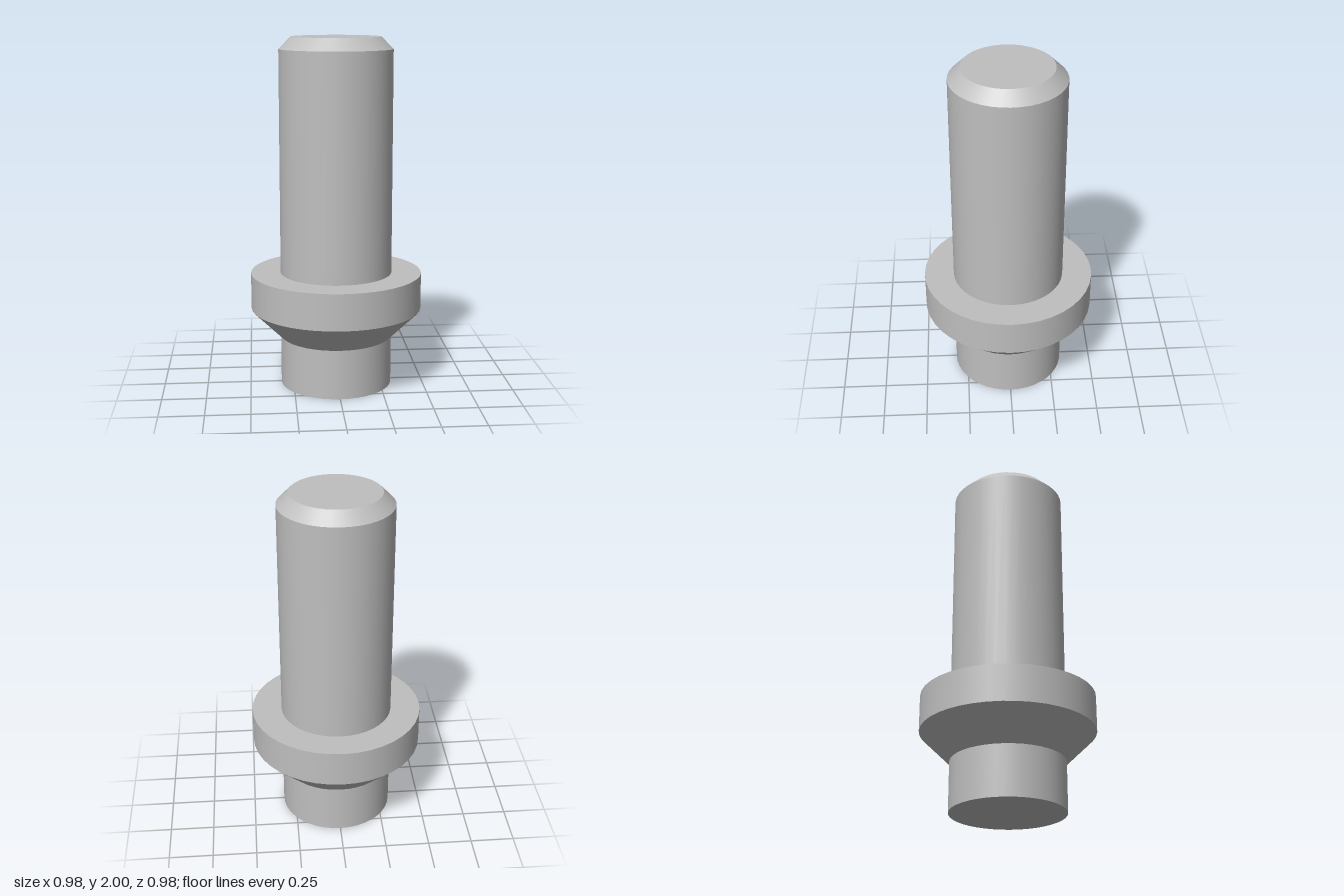
import * as THREE from 'three';

const SIDES = 40;

export function createModel() {
  const group = new THREE.Group();
  group.name = 'flangedPin';
  const steel = new THREE.MeshStandardMaterial({ color: 0xbfbfbf });
  steel.name = 'steelGrey';

  // One turned section between two heights; caps only where exposed
  const section = (name, rBottom, rTop, y0, y1, capped) => {
    const geometry = new THREE.CylinderGeometry(rTop, rBottom, y1 - y0, SIDES, 1, !capped);
    const mesh = new THREE.Mesh(geometry, steel);
    mesh.name = name;
    mesh.position.y = (y0 + y1) / 2;
    group.add(mesh);
  };

  // Flat ring or disc, facing up or down
  const disc = (name, inner, outer, y, up) => {
    const geometry = inner > 0
      ? new THREE.RingGeometry(inner, outer, SIDES)
      : new THREE.CircleGeometry(outer, SIDES);
    geometry.rotateX(up ? -Math.PI / 2 : Math.PI / 2);
    const mesh = new THREE.Mesh(geometry, steel);
    mesh.name = name;
    mesh.position.y = y;
    group.add(mesh);
  };

  // Lower spigot
  disc('bottomFace', 0, 0.32, 0, false);
  section('spigot', 0.32, 0.32, 0, 0.285, false);

  // Collar with tapered underside
  section('collarTaper', 0.32, 0.49, 0.285, 0.452, false);
  section('collar', 0.49, 0.49, 0.452, 0.66, false);
  disc('collarTop', 0.32, 0.49, 0.66, true);

  // Shaft with chamfered tip
  section('shaft', 0.32, 0.32, 0.66, 1.932, false);
  section('tipChamfer', 0.32, 0.252, 1.932, 2, false);
  disc('topFace', 0, 0.252, 2, true);

  return group;
}
